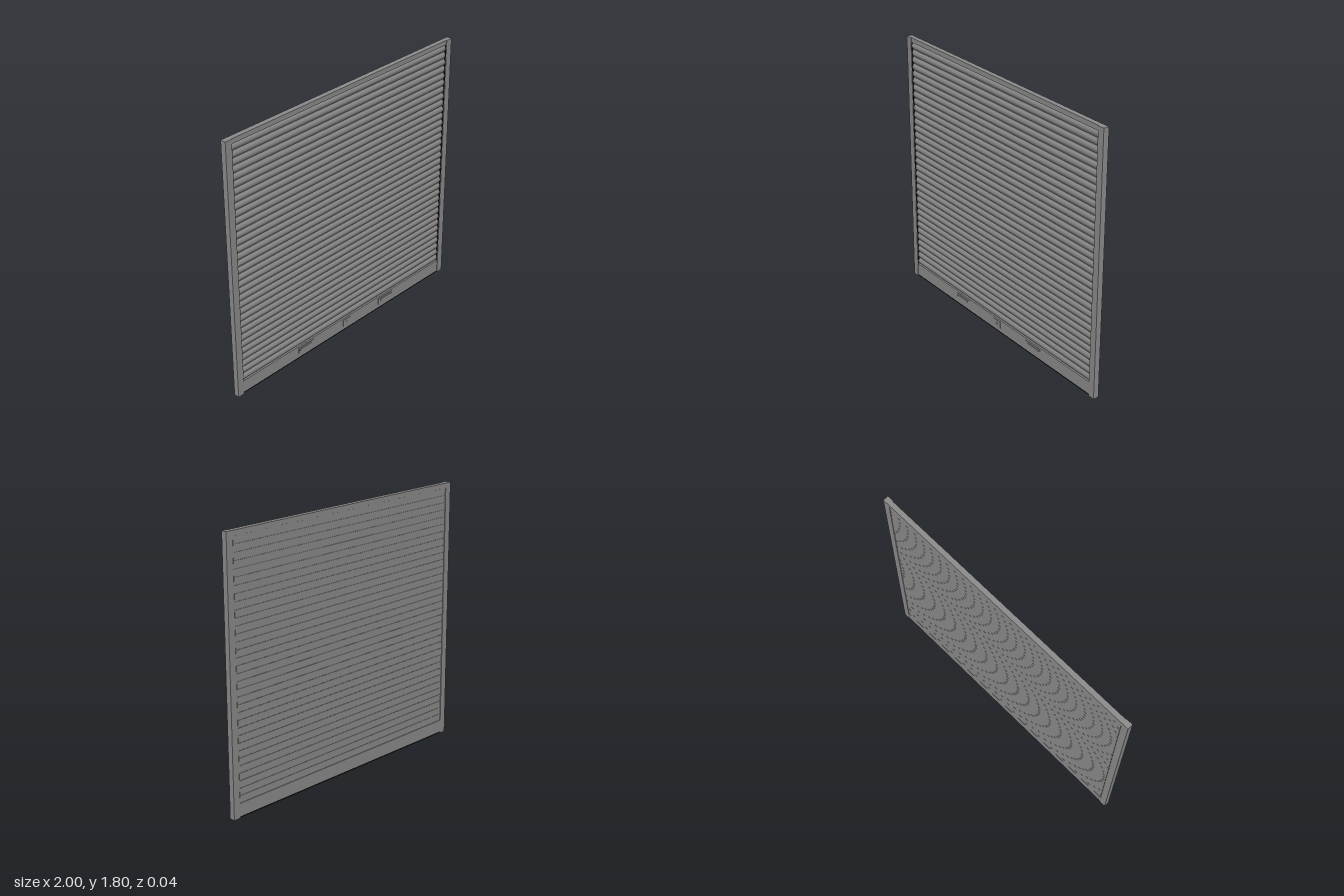
import * as THREE from 'three';
import { toCreasedNormals } from 'three/addons/utils/BufferGeometryUtils.js';

export function createModel() {
  const model = new THREE.Group();
  model.name = 'rollerShutter';

  const mat = (name, color) => {
    const m = new THREE.MeshStandardMaterial({ color });
    m.name = name;
    return m;
  };
  const steel = mat('steelGrey', 0x8b8b8c);
  const rubber = mat('blackRubber', 0x161616);

  const add = (name, geometry, material, x = 0, y = 0, z = 0, parent = model) => {
    const mesh = new THREE.Mesh(geometry, material);
    mesh.name = name;
    mesh.position.set(x, y, z);
    parent.add(mesh);
    return mesh;
  };
  // Box given by its limits on each axis
  const box = (name, material, x0, x1, y0, y1, z0, z1, parent = model) =>
    add(name, new THREE.BoxGeometry(x1 - x0, y1 - y0, z1 - z0), material,
      (x0 + x1) / 2, (y0 + y1) / 2, (z0 + z1) / 2, parent);

  const back = -0.02, front = 0.018, inner = 0.952;

  // Side guide rails with dark brush strips along their inner edges
  for (const s of [-1, 1]) {
    const side = s > 0 ? 'left' : 'right';
    add(side + 'GuideRail', new THREE.BoxGeometry(1 - inner, 1.8, front - back), steel,
      s * (1 + inner) / 2, 0.9, (front + back) / 2);
    add(side + 'BrushSeal', new THREE.BoxGeometry(0.004, 1.665, 0.024), rubber,
      s * (inner - 0.002), 0.934, 0.003);
  }

  // Top rail
  box('topRail', steel, -inner, inner, 1.767, 1.8, back, 0.014);

  // Bottom bar and rubber floor seal
  box('bottomBar', steel, -inner, inner, 0.012, 0.098, back + 0.001, 0.014);
  box('floorSeal', rubber, -inner, inner, 0.001, 0.012, back + 0.003, 0.012);

  // Curved slats: bulged front, flat back, narrow hinge groove between them
  const count = 34, bottom = 0.099, pitch = (1.767 - bottom) / count;
  const h = pitch - 0.0015;
  const profile = new THREE.Shape();
  profile.moveTo(0.018, 0);
  profile.lineTo(0.018, h);
  profile.lineTo(0, h);
  const steps = 10;
  for (let i = 0; i <= steps; i++) {
    const t = i / steps;
    profile.lineTo(-0.003 - 0.01 * Math.sin(Math.PI * t), h * (1 - t));
  }
  profile.lineTo(0, 0);
  profile.closePath();
  const slatWidth = 2 * (inner - 0.003);
  const slatGeometry = toCreasedNormals(
    new THREE.ExtrudeGeometry(profile, { depth: slatWidth, bevelEnabled: false })
      .rotateY(Math.PI / 2)
      .translate(-slatWidth / 2, 0, 0), 0.5);
  const curtain = new THREE.Group();
  curtain.name = 'slatCurtain';
  model.add(curtain);
  for (let i = 0; i < count; i++) {
    add('slat', slatGeometry, steel, 0, bottom + i * pitch + 0.0007, 0, curtain);
  }
  // Hinge core closing the grooves
  box('hingeCore', steel, -inner + 0.004, inner - 0.004, bottom, 1.767, -0.015, -0.001, curtain);

  // Two slide-bolt plates on the bottom bar
  for (const s of [-1, 1]) {
    const bolt = new THREE.Group();
    bolt.name = s > 0 ? 'leftBolt' : 'rightBolt';
    bolt.position.x = s * 0.388;
    model.add(bolt);
    add('boltPlate', new THREE.BoxGeometry(0.144, 0.048, 0.003), steel, 0, 0.06, 0.0155, bolt);
    add('boltBar', new THREE.BoxGeometry(0.115, 0.012, 0.003), steel, s * 0.008, 0.067, 0.0185, bolt);
    const knob = add('boltKnob', new THREE.CylinderGeometry(0.005, 0.005, 0.004, 16), steel,
      s * 0.055, 0.067, 0.02, bolt);
    knob.rotation.x = Math.PI / 2;
  }

  // Central lock plate with its cylinder
  box('lockPlate', steel, -0.037, 0.037, 0.036, 0.084, 0.014, 0.017);
  const lock = add('lockCylinder', new THREE.CylinderGeometry(0.008, 0.008, 0.004, 20), steel, 0, 0.06, 0.018);
  lock.rotation.x = Math.PI / 2;

  return model;
}
